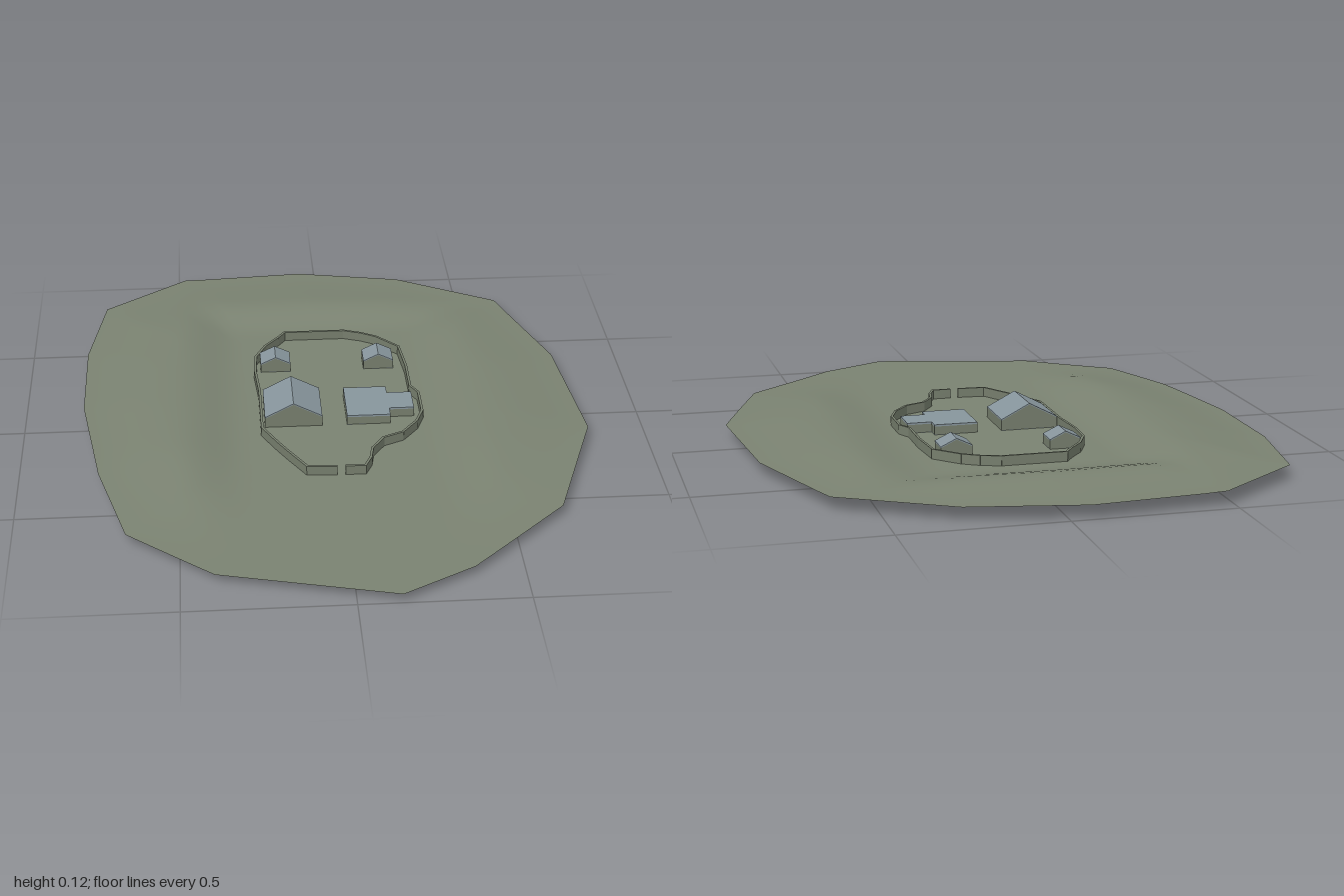
import * as THREE from 'three';

const mat = (name, color, side = THREE.FrontSide) => {
  const m = new THREE.MeshStandardMaterial({ color, side });
  m.name = name;
  return m;
};

export function createModel() {
  const model = new THREE.Group();
  model.name = 'walledSettlement';
  const grass = mat('grass', 0x7a8271, THREE.DoubleSide);
  const stone = mat('stone', 0x767e6d);
  const slate = mat('slate', 0x87959c);
  const add = (parent, name, geometry, material) => {
    const mesh = new THREE.Mesh(geometry, material);
    mesh.name = name;
    parent.add(mesh);
    return mesh;
  };
  // box given by its extents
  const box = (x0, x1, y0, y1, z0, z1) =>
    new THREE.BoxGeometry(x1 - x0, y1 - y0, z1 - z0)
      .translate((x0 + x1) / 2, (y0 + y1) / 2, (z0 + z1) / 2);
  // profile in x and y, extruded from z0 to z1
  const prism = (points, z0, z1) =>
    new THREE.ExtrudeGeometry(new THREE.Shape(points.map(p => new THREE.Vector2(...p))),
      { depth: z1 - z0, bevelEnabled: false }).translate(0, 0, z0);

  // Terrain: rings from the middle to the angular rim, raised by a height rule
  const rim = [[-0.475, -0.97], [-0.06, -1], [0.295, -0.93], [0.63, -0.74], [0.77, -0.33],
    [0.81, 0.15], [0.655, 0.59], [0.35, 0.88], [0.13, 1], [-0.4, 0.87],
    [-0.66, 0.655], [-0.75, 0.33], [-0.81, -0.07], [-0.81, -0.43], [-0.755, -0.76]];
  const step = THREE.MathUtils.smoothstep;
  const height = (x, z, t) => {
    const front = 1 - step(z, 0.2, 0.85);
    const left = 0.041 * step(-x, 0.29, 0.5) * front;
    const right = 0.029 * step(x, 0.28, 0.5) * front;
    const back = 0.034 * step(-z, 0.55, 0.75);
    const falloff = 1 - 0.72 * step(t, 0.65, 1);
    return 0.033 + Math.max(left, right, back) * falloff - 0.003 * step(z, 0.5, 1);
  };
  const split = 6, rings = 28, count = rim.length * split;
  const positions = [], index = [];
  for (let r = 0; r <= rings; r++) {
    const t = r / rings;
    for (let i = 0; i < count; i++) {
      const a = rim[Math.floor(i / split)];
      const b = rim[(Math.floor(i / split) + 1) % rim.length];
      const k = (i % split) / split;
      const x = t * (a[0] + (b[0] - a[0]) * k);
      const z = t * (a[1] + (b[1] - a[1]) * k);
      positions.push(x, height(x, z, t), z);
      if (r === rings) continue;
      const j = (i + 1) % count, p = r * count, q = p + count;
      index.push(p + i, q + j, q + i);
      if (r > 0) index.push(p + i, p + j, q + j);
    }
  }
  const land = new THREE.BufferGeometry();
  land.setAttribute('position', new THREE.Float32BufferAttribute(positions, 3));
  land.setIndex(index);
  land.computeVertexNormals();
  add(model, 'terrain', land, grass);

  // Perimeter wall, open at the front gate
  const path = [[0.015, 0.365], [0.075, 0.365], [0.095, 0.32], [0.105, 0.265], [0.145, 0.205],
    [0.21, 0.175], [0.26, 0.11], [0.285, 0.045], [0.285, -0.07], [0.262, -0.115],
    [0.262, -0.25], [0.25, -0.385], [0.18, -0.46], [0.13, -0.49], [0.07, -0.512],
    [-0.135, -0.512], [-0.16, -0.475], [-0.205, -0.42], [-0.24, -0.345], [-0.245, -0.25],
    [-0.235, -0.115], [-0.235, 0.12], [-0.19, 0.21], [-0.16, 0.265], [-0.105, 0.36], [-0.015, 0.365]];
  const wall = new THREE.Group();
  wall.name = 'perimeterWall';
  model.add(wall);
  for (let i = 0; i < path.length - 1; i++) {
    const [ax, az] = path[i], [bx, bz] = path[i + 1];
    const length = Math.hypot(bx - ax, bz - az);
    const part = add(wall, 'wallSection', new THREE.BoxGeometry(length + 0.004, 0.034, 0.008), stone);
    part.position.set((ax + bx) / 2, 0.047, (az + bz) / 2);
    part.rotation.y = -Math.atan2(bz - az, bx - ax);
  }

  // Houses with pitched roofs
  const gabledHouse = (name, x0, x1, z0, z1, eave, ridge) => {
    const house = new THREE.Group();
    house.name = name;
    model.add(house);
    const mid = (x0 + x1) / 2, d = 0.004;
    add(house, 'floor', box(x0, x1, 0.028, 0.034, z0, z1), slate);
    add(house, 'walls', prism([[x0, 0.032], [x1, 0.032], [x1, eave - d], [mid, ridge - d], [x0, eave - d]], z0, z1), stone);
    add(house, 'roof', prism([[x0, eave - d], [mid, ridge - d], [x1, eave - d],
      [x1, eave], [mid, ridge], [x0, eave]], z0, z1), slate);
  };
  gabledHouse('largeHouse', -0.225, -0.04, -0.11, 0.07, 0.069, 0.117);
  gabledHouse('smallHouseRight', -0.225, -0.125, -0.37, -0.29, 0.064, 0.088);
  gabledHouse('smallHouseLeft', 0.122, 0.222, -0.37, -0.29, 0.064, 0.088);

  // Flat-roofed hall with a side annex
  const hall = new THREE.Group();
  hall.name = 'flatHall';
  model.add(hall);
  for (const [name, x0, x1, z0, z1] of [['main', 0.04, 0.18, -0.11, 0.07], ['annex', 0.18, 0.26, -0.07, 0.03]]) {
    add(hall, name + 'Floor', box(x0, x1, 0.028, 0.034, z0, z1), slate);
    add(hall, name + 'Walls', box(x0, x1, 0.032, 0.06, z0, z1), stone);
    add(hall, name + 'Roof', box(x0, x1, 0.06, 0.066, z0, z1), slate);
  }

  // Underground passage joining the small houses, with a side branch
  const cellar = new THREE.Group();
  cellar.name = 'cellar';
  model.add(cellar);
  add(cellar, 'passage', box(-0.225, 0.222, 0, 0.031, -0.37, -0.29), slate);
  add(cellar, 'branch', box(-0.16, -0.09, 0, 0.031, -0.49, -0.37), slate);
  return model;
}
